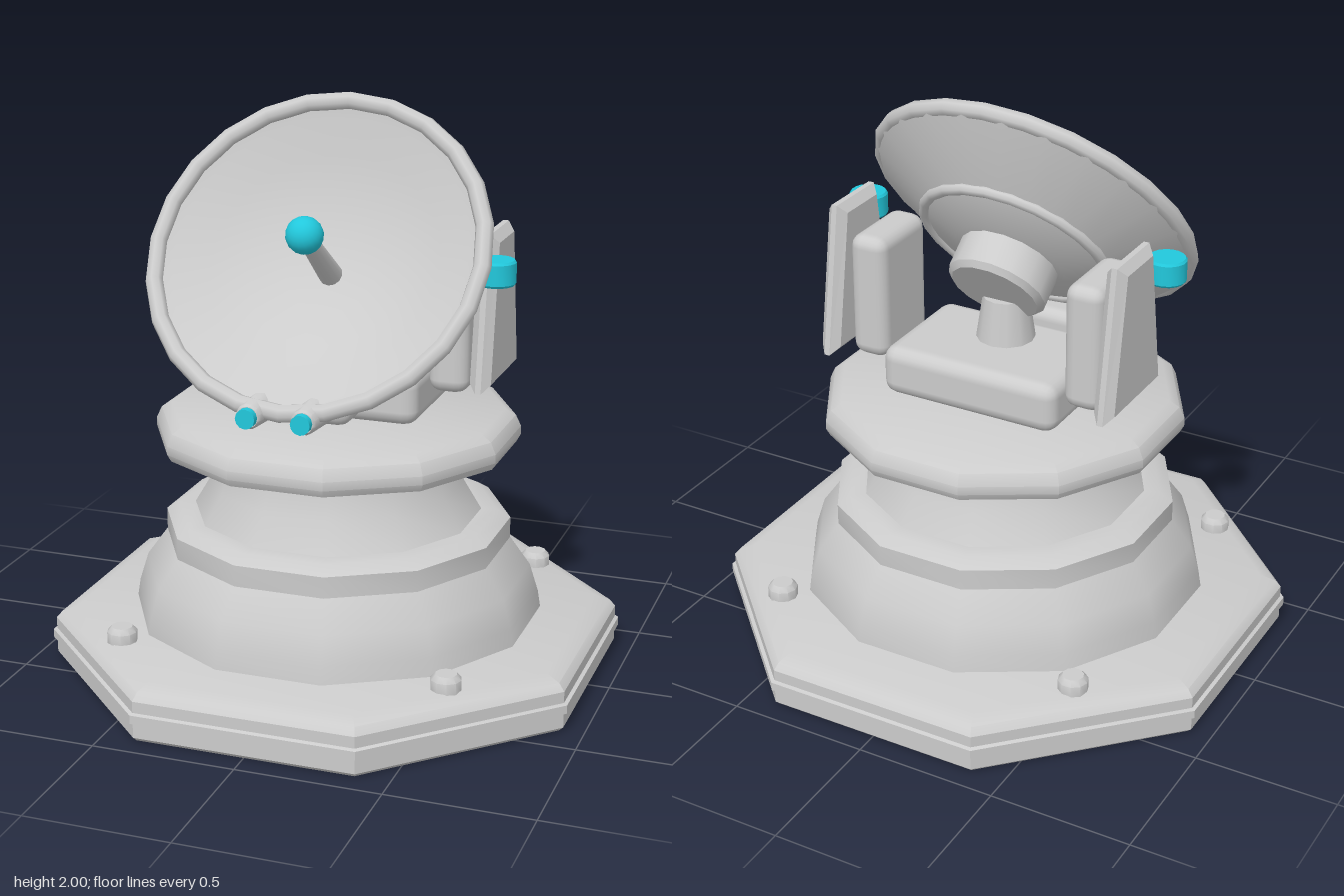
import * as THREE from 'three';
import { toCreasedNormals } from 'three/addons/utils/BufferGeometryUtils.js';
import { RoundedBoxGeometry } from 'three/addons/geometries/RoundedBoxGeometry.js';

const grey = new THREE.MeshStandardMaterial({ color: 0xcccccc });
const cyan = new THREE.MeshStandardMaterial({ color: 0x22c8dc });

function add(parent, name, geometry, [x, y, z] = [0, 0, 0], material = grey) {
  const mesh = new THREE.Mesh(geometry, material);
  mesh.name = name;
  mesh.position.set(x, y, z);
  parent.add(mesh);
  return mesh;
}

// Lathe with flat sides on the axes; profile is [distance to flat, height], bottom to top
function turned(sides, profile, crease = 0.6) {
  const k = 1 / Math.cos(Math.PI / sides);
  const points = profile.map(([r, y]) => new THREE.Vector2(r * k, y));
  return toCreasedNormals(new THREE.LatheGeometry(points, sides, Math.PI / sides), crease);
}

function box(w, h, d, r) {
  return new RoundedBoxGeometry(w, h, d, 2, r);
}

function createBase(root) {
  add(root, 'octagonalBase', turned(8, [
    [0, 0], [0.915, 0], [0.93, 0.015], [0.93, 0.065], [0.942, 0.07], [0.942, 0.1],
    [0.93, 0.105], [0.93, 0.145], [0.91, 0.17], [0.86, 0.19], [0, 0.19],
  ]));
  for (const x of [-0.58, 0.58]) for (const z of [-0.58, 0.58]) {
    add(root, 'baseBolt', turned(10, [[0.05, 0], [0.05, 0.04], [0.035, 0.058], [0, 0.058]], 0.7), [x, 0.185, z]);
  }
  add(root, 'pedestal', turned(12, [
    [0.7, 0.185], [0.69, 0.25], [0.66, 0.35], [0.59, 0.45], [0.59, 0.525], [0.545, 0.553],
    [0.49, 0.555], [0.43, 0.66], [0.405, 0.74], [0.39, 0.81],
  ]));
  add(root, 'turntable', turned(12, [
    [0, 0.8], [0.575, 0.8], [0.605, 0.81], [0.618, 0.835], [0.618, 0.865],
    [0.6, 0.905], [0.565, 0.927], [0, 0.927],
  ]));
}

function createMount(root) {
  add(root, 'mountBody', box(0.67, 0.18, 0.45, 0.05), [0, 1.015, -0.055]);
  add(root, 'neck', new THREE.CylinderGeometry(0.08, 0.11, 0.2, 12), [0, 1.16, 0.01]);

  // Bevelled trapezoid plate, drawn in z and y, inset by the bevel
  const plate = new THREE.Shape([
    [-0.285, 1.07], [0.05, 1.07], [-0.025, 1.545], [-0.21, 1.545],
  ].map(([z, y]) => new THREE.Vector2(-z, y)));
  const plateGeometry = new THREE.ExtrudeGeometry(plate, {
    depth: 0.02, bevelSize: 0.03, bevelThickness: 0.027, bevelSegments: 1,
  });
  plateGeometry.translate(0, 0, -0.01).rotateY(Math.PI / 2);

  for (const s of [-1, 1]) {
    add(root, 'sideArm', box(0.14, 0.45, 0.3, 0.045), [s * 0.412, 1.25, -0.085]);
    add(root, 'sidePlate', plateGeometry, [s * 0.528, 0, 0]);
    add(root, 'sideLamp', turned(16, [
      [0, -0.043], [0.06, -0.043], [0.066, -0.035], [0.066, 0.035], [0.06, 0.043], [0, 0.043],
    ]), [s * 0.578, 1.467, 0.06], cyan);
  }
}

function createEmitter(root) {
  add(root, 'emitterHousing', box(0.36, 0.15, 0.21, 0.045), [0, 1.056, 0.305]);
  for (const x of [-0.095, 0.095]) {
    const barrel = add(root, 'emitterBarrel', turned(12, [
      [0.055, 0], [0.042, 0.2], [0.035, 0.21], [0, 0.21],
    ]), [x, 1.056, 0.4]);
    barrel.rotation.x = Math.PI / 2;
    const tip = add(root, 'emitterTip', new THREE.CylinderGeometry(0.034, 0.034, 0.03, 12), [x, 1.056, 0.62], cyan);
    tip.rotation.x = Math.PI / 2;
  }
}

// Dish assembly: local +y is the dish axis, origin at the centre of the rim
function createDish(root) {
  const dish = new THREE.Group();
  dish.name = 'dish';
  dish.position.set(0, 1.52, 0.215);
  dish.rotation.x = 0.921;
  root.add(dish);

  add(dish, 'dishShell', turned(24, [
    [0, -0.23], [0.2, -0.225], [0.34, -0.17], [0.572, -0.03], [0.56, 0.0], [0.545, -0.01],
    [0.515, -0.025], [0.4, -0.085], [0.28, -0.135], [0.15, -0.168], [0, -0.18],
  ], 0.45));
  const rim = add(dish, 'dishRim', new THREE.TorusGeometry(0.572, 0.031, 8, 24), [0, -0.003, 0]);
  rim.rotation.x = Math.PI / 2;
  const ring = add(dish, 'backRing', new THREE.TorusGeometry(0.342, 0.021, 8, 24), [0, -0.168, 0]);
  ring.rotation.x = Math.PI / 2;
  add(dish, 'dishHub', turned(16, [
    [0, -0.36], [0.155, -0.36], [0.175, -0.34], [0.175, -0.2],
  ]));
  add(dish, 'feedPost', new THREE.CylinderGeometry(0.03, 0.042, 0.31, 12), [0, -0.03, 0]);
  add(dish, 'feedBall', new THREE.SphereGeometry(0.064, 16, 12), [0, 0.14, 0], cyan);
}

export function createModel() {
  const root = new THREE.Group();
  root.name = 'dishTurret';
  createBase(root);
  createMount(root);
  createEmitter(root);
  createDish(root);
  return root;
}
